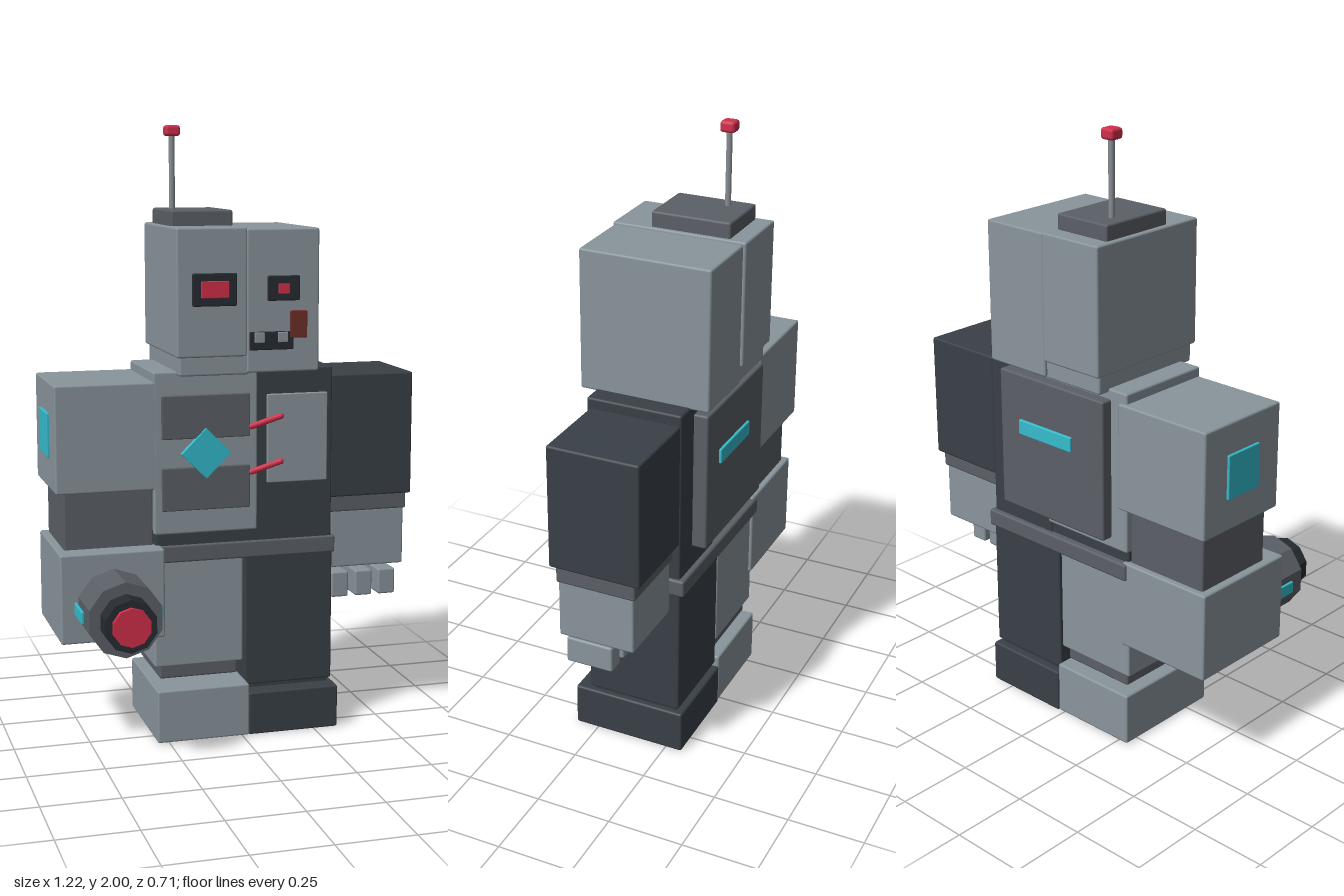
import * as THREE from 'three';
import { RoundedBoxGeometry } from 'three/addons/geometries/RoundedBoxGeometry.js';

const paint = (name, color) => {
  const m = new THREE.MeshStandardMaterial({ color });
  m.name = name;
  return m;
};

export function createModel() {
  const light = paint('light steel', 0x89959c);
  const mid = paint('grey steel', 0x5b6067);
  const dark = paint('dark steel', 0x394047);
  const black = paint('black steel', 0x262b30);
  const red = paint('red light', 0xd12f4b);
  const cyan = paint('cyan light', 0x35bccd);
  const rust = paint('rust', 0x6f2f2a);
  const rod = paint('antenna metal', 0x8a8e94);

  const root = new THREE.Group();
  root.name = 'robot';
  const group = (name) => {
    const g = new THREE.Group();
    g.name = name;
    root.add(g);
    return g;
  };
  const add = (parent, name, geometry, material) => {
    const mesh = new THREE.Mesh(geometry, material);
    mesh.name = name;
    parent.add(mesh);
    return mesh;
  };
  // Softly bevelled box given by its limits on each axis
  const box = (parent, name, material, [x0, x1], [y0, y1], [z0, z1]) => {
    const size = [x1 - x0, y1 - y0, z1 - z0];
    const bevel = Math.min(0.007, Math.min(...size) * 0.3);
    const mesh = add(parent, name, new RoundedBoxGeometry(...size, 1, bevel), material);
    mesh.position.set((x0 + x1) / 2, (y0 + y1) / 2, (z0 + z1) / 2);
    return mesh;
  };

  // Head: two mismatched halves over a short neck
  const head = group('head');
  box(head, 'headRight', light, [-0.22, 0.012], [1.27, 1.68], [-0.357, 0.092]);
  box(head, 'headLeft', light, [0.012, 0.255], [1.215, 1.675], [-0.35, 0.085]);
  box(head, 'neck', light, [-0.21, 0.02], [1.21, 1.275], [-0.34, 0.08]);
  box(head, 'headCap', mid, [-0.205, 0], [1.675, 1.73], [-0.3, -0.035]);

  // Antenna
  const mast = add(head, 'antenna', new THREE.CylinderGeometry(0.01, 0.01, 0.25, 8), rod);
  mast.position.set(-0.155, 1.85, -0.225);
  const tip = add(head, 'antennaTip', new RoundedBoxGeometry(0.05, 0.036, 0.05, 1, 0.01), red);
  tip.position.set(-0.155, 1.982, -0.225);

  // Face
  box(head, 'rightEyeSocket', black, [-0.17, -0.025], [1.433, 1.537], [0.088, 0.101]);
  box(head, 'rightEye', red, [-0.143, -0.052], [1.459, 1.513], [0.098, 0.107]);
  box(head, 'leftEyeSocket', black, [0.08, 0.187], [1.445, 1.525], [0.08, 0.092]);
  box(head, 'leftEye', red, [0.115, 0.152], [1.467, 1.5], [0.089, 0.097]);
  box(head, 'mouth', black, [0.02, 0.167], [1.288, 1.347], [0.08, 0.091]);
  for (const x of [0.035, 0.113]) {
    box(head, 'tooth', light, [x, x + 0.034], [1.312, 1.345], [0.088, 0.097]);
  }
  box(head, 'rustPatch', rust, [0.155, 0.212], [1.325, 1.413], [0.083, 0.095]);

  // Torso: light and dark sides
  const torso = group('torso');
  box(torso, 'torsoRight', light, [-0.285, 0.062], [0.69, 1.222], [-0.3, 0.038]);
  box(torso, 'torsoLeft', dark, [0.055, 0.322], [0.64, 1.222], [-0.29, 0.03]);
  box(torso, 'waist', dark, [-0.28, 0.31], [0.6, 0.695], [-0.285, 0.03]);
  box(torso, 'belt', mid, [-0.285, 0.333], [0.595, 0.652], [-0.308, 0.038]);
  box(torso, 'backPanel', mid, [-0.22, 0.23], [0.725, 1.19], [-0.338, -0.285]);
  box(torso, 'backLight', cyan, [-0.09, 0.14], [0.99, 1.04], [-0.347, -0.335]);
  for (const y of [0.768, 1.003]) {
    box(torso, 'chestPlate', mid, [-0.26, 0.035], [y, y + 0.142], [0.033, 0.047]);
  }
  box(torso, 'sidePanel', light, [0.095, 0.302], [0.843, 1.137], [0.026, 0.04]);
  const gem = add(torso, 'chestLight', new THREE.BoxGeometry(0.116, 0.116, 0.024), cyan);
  gem.position.set(-0.115, 0.955, 0.046);
  gem.rotation.z = Math.PI / 4;
  for (const y of [1.035, 0.885]) {
    const path = new THREE.LineCurve3(
      new THREE.Vector3(0.04, y, 0.045), new THREE.Vector3(0.14, y + 0.03, 0.045));
    const wire = add(torso, 'wire', new THREE.TubeGeometry(path, 1, 0.01, 8), red);
    for (const end of [path.v1, path.v2]) {
      const cap = add(torso, 'wireEnd', new THREE.SphereGeometry(0.01, 8, 6), red);
      cap.position.copy(end);
    }
    wire.name = 'wire';
  }

  // Right arm with cannon
  const rightArm = group('rightArm');
  box(rightArm, 'rightShoulder', light, [-0.605, -0.257], [0.84, 1.19], [-0.312, 0.037]);
  box(rightArm, 'rightElbow', mid, [-0.577, -0.283], [0.645, 0.85], [-0.28, 0.015]);
  box(rightArm, 'rightForearm', light, [-0.603, -0.262], [0.362, 0.655], [-0.3, 0.085]);
  box(rightArm, 'shoulderLight', cyan, [-0.613, -0.6], [0.945, 1.09], [-0.21, -0.065]);
  const barrel = (name, material, radius, z0, z1) => {
    const g = new THREE.CylinderGeometry(radius, radius, z1 - z0, 10).toNonIndexed();
    g.rotateX(Math.PI / 2);
    g.computeVertexNormals();
    add(rightArm, name, g, material).position.set(-0.43, 0.48, (z0 + z1) / 2);
  };
  barrel('cannon', mid, 0.122, 0.08, 0.262);
  barrel('muzzle', black, 0.085, 0.255, 0.337);
  barrel('muzzleLight', red, 0.062, 0.33, 0.352);
  for (const x of [-0.555, -0.301]) {
    box(rightArm, 'cannonLight', cyan, [x - 0.005, x + 0.005], [0.46, 0.5], [0.082, 0.203]);
  }

  // Left arm with fingers
  const leftArm = group('leftArm');
  box(leftArm, 'leftUpperArm', dark, [0.32, 0.61], [0.777, 1.19], [-0.288, 0.018]);
  box(leftArm, 'leftCuff', mid, [0.325, 0.6], [0.722, 0.78], [-0.268, 0]);
  box(leftArm, 'leftHand', light, [0.33, 0.593], [0.53, 0.727], [-0.26, -0.005]);
  for (const x of [0.342, 0.427, 0.51]) {
    box(leftArm, 'finger', light, [x, x + 0.061], [0.422, 0.51], [-0.175, -0.017]);
  }

  // Legs and feet
  const legs = group('legs');
  box(legs, 'rightLeg', light, [-0.285, 0.016], [0.243, 0.605], [-0.29, 0.03]);
  box(legs, 'rightAnkle', mid, [-0.265, 0], [0.198, 0.25], [-0.275, 0.015]);
  box(legs, 'rightFoot', light, [-0.29, 0.022], [0.003, 0.18], [-0.305, 0.088]);
  box(legs, 'leftLeg', dark, [0.022, 0.326], [0.157, 0.605], [-0.292, 0.03]);
  box(legs, 'leftAnkle', dark, [0.035, 0.315], [0.135, 0.165], [-0.28, 0.02]);
  box(legs, 'leftFoot', dark, [0.022, 0.333], [0, 0.145], [-0.307, 0.08]);

  return root;
}
